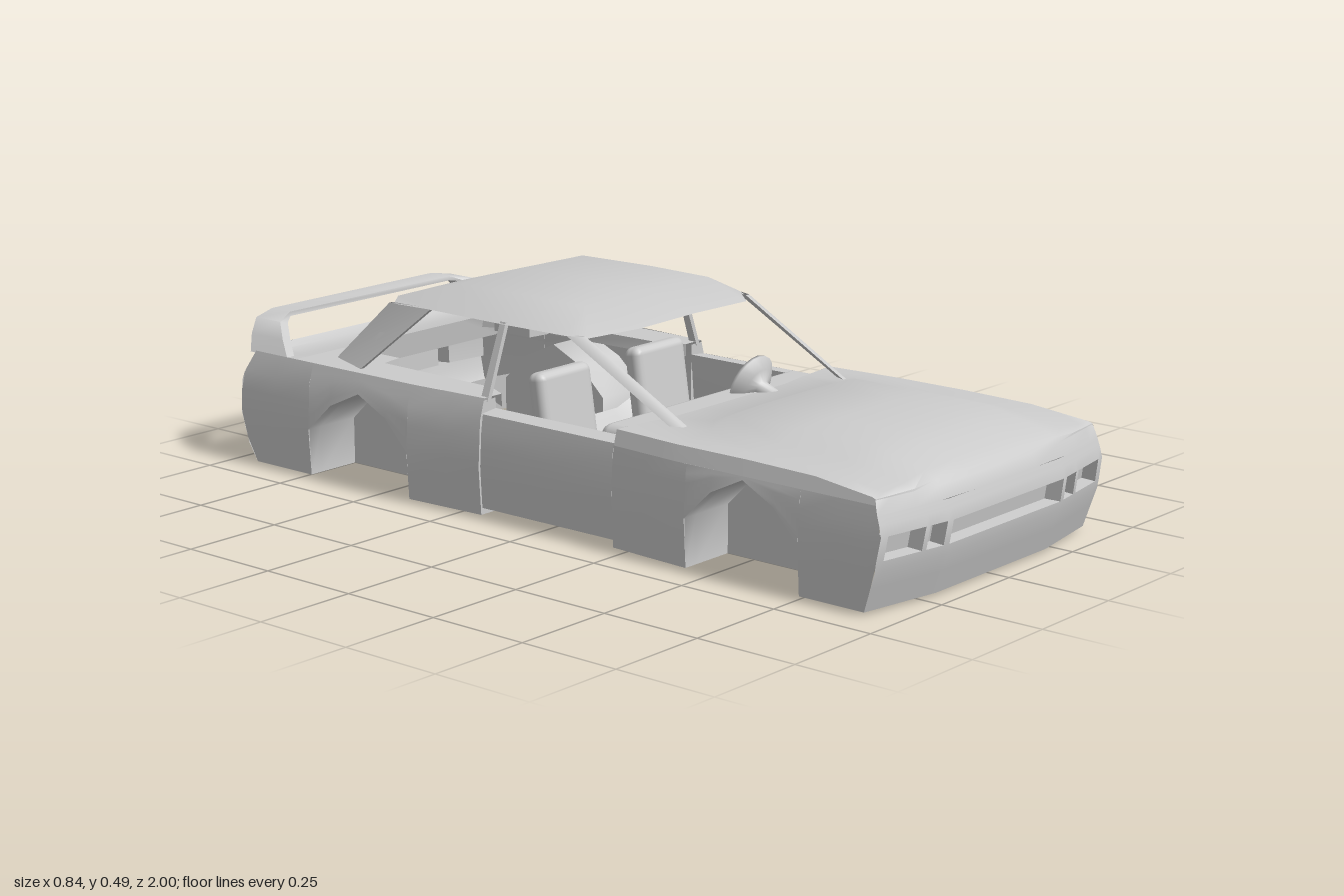
import * as THREE from 'three';
import { toCreasedNormals } from 'three/addons/utils/BufferGeometryUtils.js';
import { RoundedBoxGeometry } from 'three/addons/geometries/RoundedBoxGeometry.js';

const mat = new THREE.MeshStandardMaterial({ color: 0xcccccc, side: THREE.DoubleSide });

// piecewise-linear lookup in [[key, value], ...] with rising keys
function lookup(table, k) {
  if (k <= table[0][0]) return table[0][1];
  for (let i = 1; i < table.length; i++) {
    const [a, va] = table[i - 1], [b, vb] = table[i];
    if (k <= b) return va + (vb - va) * (k - a) / (b - a);
  }
  return table[table.length - 1][1];
}

// skin through rows of [x, y, z] points, optionally leaving out cells
function loft(name, rows, skip = () => false) {
  const pos = [];
  for (let r = 0; r < rows.length - 1; r++) {
    for (let c = 0; c < rows[r].length - 1; c++) {
      if (skip(r, c)) continue;
      const a = rows[r][c], b = rows[r][c + 1], d = rows[r + 1][c], e = rows[r + 1][c + 1];
      pos.push(...a, ...b, ...e, ...a, ...e, ...d);
    }
  }
  const g = new THREE.BufferGeometry();
  g.setAttribute('position', new THREE.Float32BufferAttribute(pos, 3));
  return part(name, toCreasedNormals(g, 1.15));
}

function part(name, geometry, x = 0, y = 0, z = 0) {
  const m = new THREE.Mesh(geometry, mat);
  m.name = name;
  m.position.set(x, y, z);
  return m;
}

// body outline rules: u runs from -1 (right) to 1 (left)
const BASE = 0.007;
const halfW = y => lookup([[BASE, 0.415], [0.12, 0.422], [0.23, 0.415], [0.28, 0.4]], y);
const frontZ = (u, y) => lookup([[BASE, 0.955], [0.1, 0.985], [0.18, 0.998], [0.25, 0.975]], y)
  - Math.max(0, Math.abs(u) - 0.5) * 0.07;
const rearZ = (u, y) => lookup([[BASE, -0.94], [0.05, -0.965], [0.13, -0.985], [0.21, -0.985], [0.28, -0.95]], y)
  + Math.max(0, Math.abs(u) - 0.75) * 0.08;
const shoulder = z => lookup([[0.75, 0.275], [0.98, 0.25]], z);
// the body is drawn in beside the doors
const waist = z => lookup([[-0.38, 0], [-0.2, 0.012], [0.22, 0.014], [0.42, 0]], z);
const arch = (z, half) => [[z - half, BASE], [z - half, 0.12], [z - half * 0.55, 0.19], [z, 0.232],
  [z + half * 0.55, 0.19], [z + half, 0.12], [z + half, BASE]];
const FRONT = arch(0.595, 0.155), REAR = arch(-0.565, 0.165);

// body side between stations of [z, lower edge]
function sidePanel(name, stations, top) {
  return loft(name, stations.map(([z, low]) => [0, 0.2, 0.45, 0.65, 0.82, 1].map(t => {
    const y = low + (top - low) * t;
    return [halfW(y) - waist(z), y, Math.max(rearZ(1, y), Math.min(frontZ(1, y), z))];
  })));
}

// end panel with recessed lamps; a hole is a [column, row] cell
function endPanel(group, name, us, ys, zAt, holes, depth) {
  const pt = (u, y, d = 0) => [u * halfW(y), y, zAt(u, y) - d];
  group.add(loft(name, ys.map(y => us.map(u => pt(u, y))),
    (r, c) => holes.some(h => h[0] === c && h[1] === r)));
  for (const [c, r] of holes) {
    const [u0, u1, y0, y1] = [us[c], us[c + 1], ys[r], ys[r + 1]];
    const rim = [[u0, y0], [u1, y0], [u1, y1], [u0, y1], [u0, y0]];
    const mid = [(u0 + u1) / 2, (y0 + y1) / 2];
    const inset = ([u, y]) => [mid[0] + (u - mid[0]) * 0.95, mid[1] + (y - mid[1]) * 0.9];
    group.add(loft(name + 'Recess', [rim.map(p => pt(...p)), rim.map(p => pt(...inset(p), depth)),
      rim.map(() => pt(...mid, depth))]));
  }
}

// flat pillar with a little thickness: front and rear points at top and foot
function pillar(name, topF, topR, footF, footR) {
  const ring = (a, b) => {
    const inn = ([x, y, z]) => [x - 0.012, y, z];
    return [a, b, inn(b), inn(a), a];
  };
  return loft(name, [ring(topF, topR), ring(footF, footR)]);
}

export function createModel() {
  const car = new THREE.Group();
  car.name = 'carShell';

  // nose and tail panels
  endPanel(car, 'nose', [-1, -0.95, -0.69, -0.66, -0.54, -0.5, 0.5, 0.54, 0.66, 0.69, 0.95, 1],
    [BASE, 0.06, 0.1, 0.122, 0.176, 0.2, 0.22], frontZ, [[1, 3], [3, 3], [5, 3], [7, 3], [9, 3]], 0.035);
  endPanel(car, 'tail', [-1, -0.92, -0.63, -0.57, 0.57, 0.63, 0.92, 1],
    [BASE, 0.05, 0.09, 0.125, 0.205, 0.225, 0.25, 0.28], rearZ, [[1, 3], [3, 3], [5, 3]], -0.055);

  // underside return of the rear bumper
  const us = [-1, -0.75, -0.4, 0, 0.4, 0.75, 1];
  car.add(loft('rearBumperReturn', [[BASE, 0], [BASE, 0.11], [0.1, 0.12]].map(([y, d]) =>
    us.map(u => [u * halfW(BASE), y, rearZ(u, BASE) + d]))));

  // bonnet and cowl, rolled over the nose and the fender tops
  const bonnetY = [[0.25, 0.265], [0.36, 0.285], [0.41, 0.31], [0.78, 0.31], [0.93, 0.275], [0.98, 0.25]];
  const bonnetU = [-1.1, -1, -0.9, -0.73, -0.55, -0.28, 0, 0.28, 0.55, 0.73, 0.9, 1, 1.1];
  const noseRow = bonnetU.map(u => {
    const v = Math.max(-1, Math.min(1, u));
    return [v * halfW(0.22), 0.22, frontZ(v, 0.22)];
  });
  car.add(loft('bonnet', [noseRow, ...[1, 0.96, 0.93, 0.85, 0.78, 0.6, 0.41, 0.36, 0.22].map(z => bonnetU.map(u => {
    if (Math.abs(u) > 1) return [Math.sign(u) * (halfW(0.24) - waist(z)), 0.24, Math.min(z, frontZ(1, 0.24))];
    const edge = shoulder(z), mid = lookup(bonnetY, z);
    const k = lookup([[0.5, 0], [0.55, 0.08], [0.73, 0.65], [0.9, 0.9], [1, 1]], Math.abs(u));
    return [u * (halfW(edge) - waist(z)), mid + (edge - mid) * k, Math.min(z, frontZ(u, 0.25))];
  }))]));

  // rear deck, dished under the wing, with a lip down into the cabin
  car.add(loft('rearDeck', [[-1, 0.28], [-0.93, 0.268], [-0.86, 0.268], [-0.78, 0.28], [-0.79, 0.22]].map(([z, y]) =>
    us.map(u => [u * 0.4, Math.abs(u) === 1 ? Math.max(y, 0.275) : y, Math.max(z, rearZ(u, 0.28))]))));

  // everything that exists on both sides
  const half = new THREE.Group();
  half.name = 'leftSide';
  half.add(sidePanel('frontFender', [[0.22, BASE], [0.32, BASE], ...FRONT, [0.85, BASE], [0.93, BASE], [1, BASE]], 0.24));
  half.add(sidePanel('rearQuarter', [[-1, BASE], [-0.85, BASE], ...REAR, [-0.28, BASE], [-0.18, BASE]], 0.28));
  half.add(sidePanel('door', [[-0.175, 0.025], [0.02, 0.025], [0.22, 0.025]], 0.245));
  half.add(loft('doorLining', [-0.18, 0.22].map(z =>
    [[0.397, 0.245, z], [0.35, 0.25, z], [0.36, 0.14, z], [0.385, 0.02, z]])));
  for (const z of [0.22, -0.18]) // door jambs
    half.add(loft('doorJamb', [BASE, 0.12, 0.23, 0.275].map(y => [[halfW(y) - waist(z), y, z], [0.35, y, z]])));

  // wheel housings: curved liner and inner wall
  for (const [name, a] of [['frontWheelHousing', FRONT], ['rearWheelHousing', REAR]]) {
    half.add(loft(name, a.map(([z, y]) => [[halfW(y), y, z], [0.38, y, z], [0.27, y, z]])));
    const wall = new THREE.ShapeGeometry(new THREE.Shape(a.map(([z, y]) => new THREE.Vector2(-z, y))));
    wall.rotateY(Math.PI / 2);
    half.add(part(name + 'Wall', wall, 0.27));
  }

  // shelf beside the rear window
  half.add(loft('rearShelf', [[-0.18, 0.33], [-0.24, 0.3], [-0.6, 0.29], [-0.61, 0.23], [-0.73, 0.23], [-0.74, 0.26], [-0.79, 0.24]].map(
    ([z, x]) => [[0.4 - waist(z), 0.28, z], [x, 0.28, z], [x, 0.25, z]])));

  // roof pillars
  half.add(pillar('frontPillar', [0.3, 0.44, 0.04], [0.312, 0.44, 0.005], [0.296, 0.28, 0.335], [0.31, 0.28, 0.305]));
  half.add(pillar('middlePillar', [0.316, 0.445, -0.178], [0.316, 0.445, -0.195], [0.38, 0.27, -0.178], [0.38, 0.27, -0.2]));
  half.add(pillar('rearPillar', [0.315, 0.44, -0.42], [0.29, 0.43, -0.58], [0.37, 0.28, -0.6], [0.32, 0.28, -0.73]));

  // seat
  const seat = new THREE.Group();
  seat.name = 'seat';
  seat.position.set(0.17, 0, 0);
  const back = part('seatBack', new RoundedBoxGeometry(0.18, 0.25, 0.05, 2, 0.02), 0, 0.195, -0.13);
  back.rotation.x = -0.15;
  seat.add(back, part('seatCushion', new RoundedBoxGeometry(0.18, 0.07, 0.2, 2, 0.02), 0, 0.075, -0.02));
  half.add(seat);
  const mirrored = half.clone();
  mirrored.name = 'rightSide';
  mirrored.scale.x = -1;
  car.add(half, mirrored);

  // roof: rows of [shoulder x, y, z] and [edge x, y, z]
  car.add(loft('roof', [
    [[0.19, 0.453, 0.12], [0.28, 0.433, 0.04]],
    [[0.22, 0.487, -0.02], [0.315, 0.44, 0]],
    [[0.22, 0.49, -0.2], [0.32, 0.44, -0.2]],
    [[0.22, 0.487, -0.42], [0.315, 0.44, -0.42]],
    [[0.22, 0.43, -0.62], [0.285, 0.428, -0.57]],
  ].map(([s, e]) => {
    const flip = ([x, y, z]) => [-x, y, z];
    return [flip(e), flip(s), [0, s[1] + 0.003, s[2]], s, e];
  })));

  // rear wing: hoop of flat sections [x, y, front z, rear z]
  const hoop = [[0.4, 0.275, -0.82, -0.95], [0.372, 0.312, -0.865, -0.975], [0.342, 0.345, -0.905, -0.99], [0.28, 0.356, -0.935, -1]];
  const sections = [...hoop, ...hoop.slice().reverse().map(([x, ...r]) => [-x, ...r])];
  car.add(loft('rearWing', sections.map(([x, y, zf, zr]) => {
    const s = Math.sign(x), flat = Math.abs(x) < 0.3, dx = flat ? 0 : 0.025 * s, dy = flat ? 0.011 : 0.006;
    return [[x, y, zf], [x, y, zr], [x - dx, y - dy, zr], [x - dx, y - dy, zf], [x, y, zf]];
  })));

  // floor pan: tapered ends that slope up, two raised wells under the seats
  const pan = [[0.42, 0.27, 0.01, 0], [0.24, 0.37, 0.002, 0], [0.17, 0.385, 0, 0], [0.14, 0.385, 0, 0.035],
    [-0.13, 0.385, 0, 0.035], [-0.16, 0.385, 0, 0], [-0.26, 0.38, 0.01, 0], [-0.36, 0.34, 0.1, 0]];
  car.add(loft('floorPan', pan.map(([z, w, y, well]) =>
    [-1, -0.82, -0.75, -0.24, -0.16, 0.16, 0.24, 0.75, 0.82, 1].map(u => {
      const a = Math.abs(u);
      return [u * w, y + (a === 1 ? 0.02 : a < 0.8 && a > 0.2 ? well : 0), z];
    }))));

  // firewall and dashboard
  car.add(part('firewall', new THREE.BoxGeometry(0.78, 0.25, 0.01), 0, 0.14, 0.235));
  car.add(part('dashboard', new RoundedBoxGeometry(0.7, 0.1, 0.12, 2, 0.025), 0, 0.215, 0.19));

  // dished steering wheel on its column
  const dish = [[0.018, -0.075], [0.02, -0.03], [0.045, -0.02], [0.07, 0], [0.068, 0.008], [0.03, -0.004], [0, 0]];
  const wheel = part('steeringWheel',
    new THREE.LatheGeometry(dish.map(([r, h]) => new THREE.Vector2(r, h)), 20), 0.125, 0.28, 0.19);
  wheel.rotation.x = -Math.PI / 2 + 0.35;
  car.add(wheel);
  return car;
}
